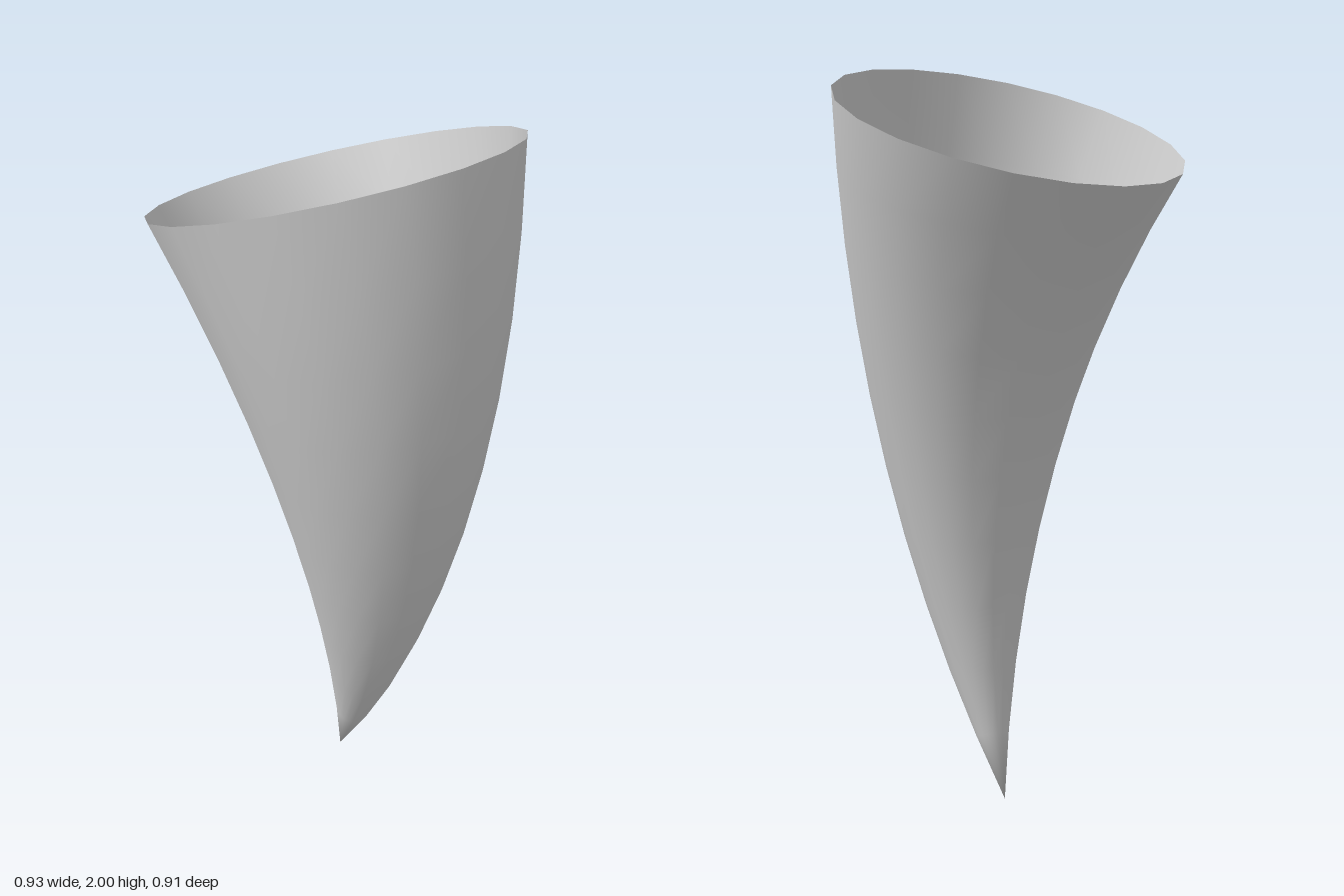
import * as THREE from 'three';

const SIDES = 20, RINGS = 10;
const RIM_RADIUS = 0.467;
const HEIGHT = 1.84;                           // tip to centre of the rim
const BEND = THREE.MathUtils.degToRad(20);     // tilt of the spine at either end
const ARC = HEIGHT / 2 / Math.sin(BEND);       // radius of the spine's arc

// Curved cone: rings that grow evenly along a circular arc, from a pointed tip to an open rim
function hornGeometry() {
  const positions = [0, 0, 0.01];
  const index = [];
  for (let i = 1; i <= RINGS; i++) {
    const t = i / RINGS;
    const tilt = BEND * (1 - 2 * t);           // positive leans forward, negative back
    const cy = HEIGHT / 2 - ARC * Math.sin(tilt);
    const cz = ARC * (Math.cos(tilt) - Math.cos(BEND)) + 0.01 - 0.022 * t;
    const r = RIM_RADIUS * t;
    for (let j = 0; j < SIDES; j++) {
      const a = (j / SIDES) * Math.PI * 2;
      const forward = r * Math.cos(a);
      positions.push(r * Math.sin(a), cy - forward * Math.sin(tilt), cz + forward * Math.cos(tilt));
    }
  }
  const at = (i, j) => 1 + (i - 1) * SIDES + (j % SIDES);
  for (let j = 0; j < SIDES; j++) {
    index.push(0, at(1, j + 1), at(1, j));
    for (let i = 1; i < RINGS; i++) {
      index.push(at(i, j), at(i, j + 1), at(i + 1, j + 1));
      index.push(at(i, j), at(i + 1, j + 1), at(i + 1, j));
    }
  }
  const geometry = new THREE.BufferGeometry();
  geometry.setAttribute('position', new THREE.Float32BufferAttribute(positions, 3));
  geometry.setIndex(index);
  geometry.computeVertexNormals();
  return geometry;
}

export function createModel() {
  const group = new THREE.Group();
  group.name = 'horn';
  const material = new THREE.MeshStandardMaterial({ color: 0xcccccc, side: THREE.DoubleSide });
  const shell = new THREE.Mesh(hornGeometry(), material);
  shell.name = 'hornShell';
  group.add(shell);
  return group;
}
